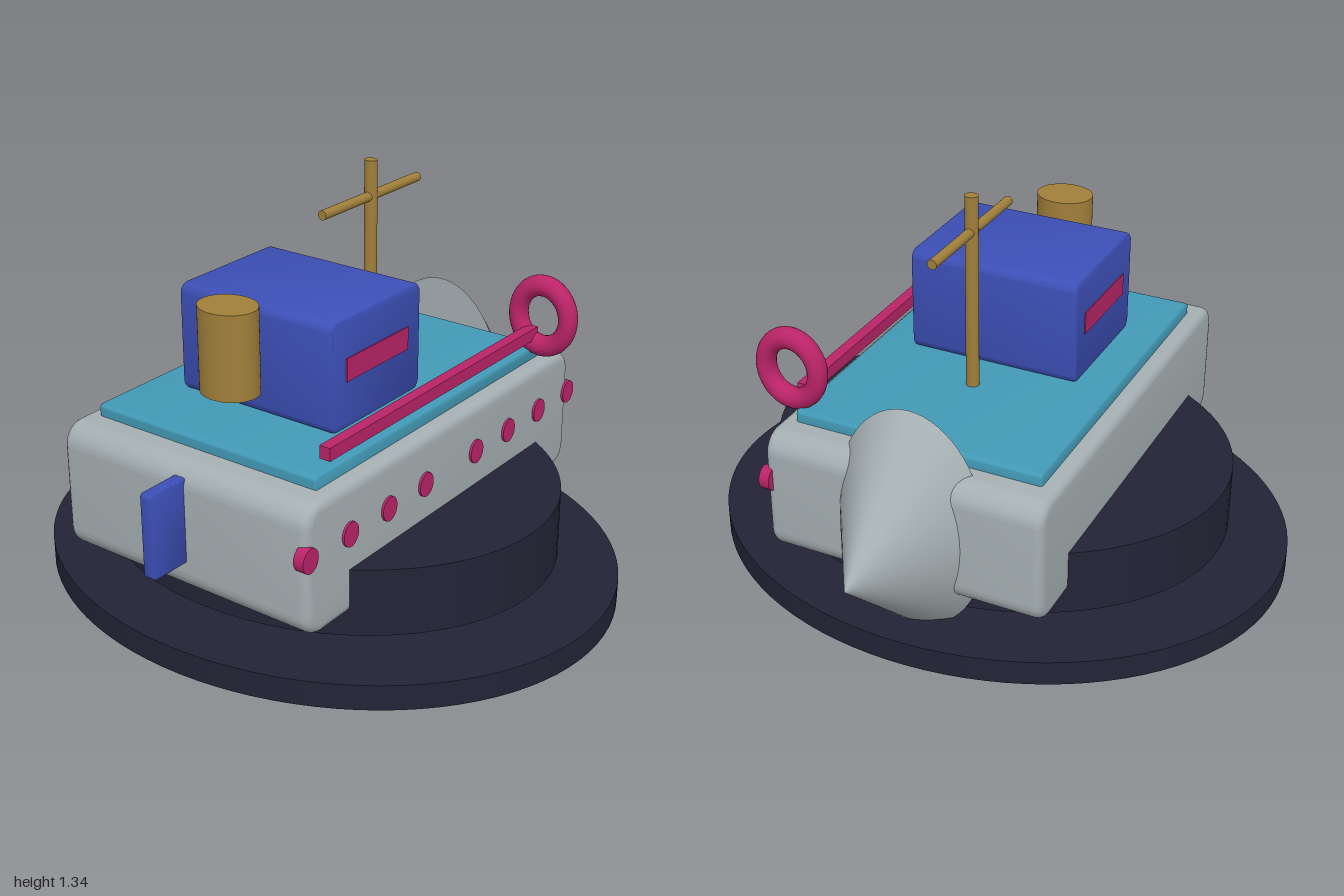
import * as THREE from 'three';
import { toCreasedNormals } from 'three/addons/utils/BufferGeometryUtils.js';

const paint = (name, color) => {
  const m = new THREE.MeshStandardMaterial({ color });
  m.name = name;
  return m;
};

// Box from its limits, with corner radius r in the xy plane and bevel b along the z edges
function roundedBlock(x0, x1, y0, y1, z0, z1, r, b) {
  const s = new THREE.Shape();
  const l = x0 + b, R = x1 - b, d = y0 + b, u = y1 - b, c = Math.max(r - b, 0.004);
  s.moveTo(l + c, d);
  s.lineTo(R - c, d);
  s.absarc(R - c, d + c, c, -Math.PI / 2, 0);
  s.lineTo(R, u - c);
  s.absarc(R - c, u - c, c, 0, Math.PI / 2);
  s.lineTo(l + c, u);
  s.absarc(l + c, u - c, c, Math.PI / 2, Math.PI);
  s.lineTo(l, d + c);
  s.absarc(l + c, d + c, c, Math.PI, Math.PI * 1.5);
  const g = new THREE.ExtrudeGeometry(s, {
    depth: z1 - z0 - 2 * b, bevelEnabled: true, bevelSize: b, bevelThickness: b,
    bevelSegments: 4, curveSegments: 8,
  });
  g.translate(0, 0, z0 + b);
  return toCreasedNormals(g, 0.6);
}

// Upright cylinder from y0 to y1 with an elliptical section
function drum(x, y0, y1, rx, rz, segments = 48) {
  return new THREE.CylinderGeometry(1, 1, y1 - y0, segments)
    .scale(rx, 1, rz)
    .translate(x, (y0 + y1) / 2, 0);
}

export function createModel() {
  const model = new THREE.Group();
  model.name = 'toyBoat';

  const navy = paint('navy', 0x232336);
  const grey = paint('hullGrey', 0xa5afb2);
  const teal = paint('deckTeal', 0x4299b6);
  const blue = paint('cabinBlue', 0x3c4fb6);
  const pink = paint('trimPink', 0xba2468);
  const brass = paint('brass', 0xa07f3a);

  const add = (name, geometry, material, parent = model) => {
    const mesh = new THREE.Mesh(geometry, material);
    mesh.name = name;
    parent.add(mesh);
    return mesh;
  };

  // Stand: two oval discs
  add('baseDisc', drum(-0.1, 0, 0.085, 0.84, 1, 96), navy);
  add('upperDisc', drum(-0.1, 0.135, 0.36, 0.665, 0.795, 96), navy);

  // Hull, bow cone, deck and rudder
  add('hull', roundedBlock(-0.835, 0.635, 0.21, 0.64, -0.478, 0.478, 0.075, 0.03), grey);
  const bow = new THREE.ConeGeometry(1, 0.41, 64);
  bow.rotateZ(-Math.PI / 2).scale(1, 0.395, 0.26).translate(0.76, 0.415, 0);
  add('bow', bow, grey);
  add('deck', roundedBlock(-0.72, 0.52, 0.6, 0.68, -0.425, 0.425, 0.015, 0.008), teal);
  add('rudder', roundedBlock(-0.975, -0.81, 0.32, 0.6, -0.022, 0.022, 0.012, 0.006), blue);

  // Cabin with a window strip on each side
  add('cabin', roundedBlock(-0.475, -0.012, 0.675, 1.035, -0.295, 0.295, 0.035, 0.012), blue);
  for (const side of [1, -1]) {
    const strip = new THREE.BoxGeometry(0.318, 0.075, 0.008);
    strip.translate(-0.243, 0.868, side * 0.295);
    add('cabinWindow', strip, pink);
  }

  // Funnel and mast
  add('funnel', drum(-0.588, 0.79, 1.066, 0.084, 0.098), brass);
  add('mast', drum(0.128, 0.66, 1.34, 0.02, 0.022, 24), brass);
  const yard = new THREE.CylinderGeometry(0.016, 0.016, 0.52, 20);
  yard.rotateZ(Math.PI / 2).translate(0.13, 1.22, 0);
  add('crossbar', yard, brass);

  // Rail and life ring
  add('rail', new THREE.BoxGeometry(1.15, 0.042, 0.038).translate(-0.095, 0.736, 0.418), pink);
  const ring = new THREE.TorusGeometry(0.103, 0.035, 20, 48);
  ring.rotateY(Math.PI / 2).scale(1, 1.03, 0.91).translate(0.475, 0.802, 0.458);
  add('lifeRing', ring, pink);

  // Portholes along the front side
  const portholes = new THREE.Group();
  portholes.name = 'portholes';
  model.add(portholes);
  for (const x of [-0.825, -0.632, -0.438, -0.243, 0.043, 0.237, 0.431, 0.625]) {
    const g = new THREE.CylinderGeometry(1, 1, 0.036, 28);
    g.rotateX(Math.PI / 2).scale(0.036, 0.04, 1).translate(x, 0.48, 0.468);
    add('porthole', g, pink, portholes);
  }

  return model;
}
